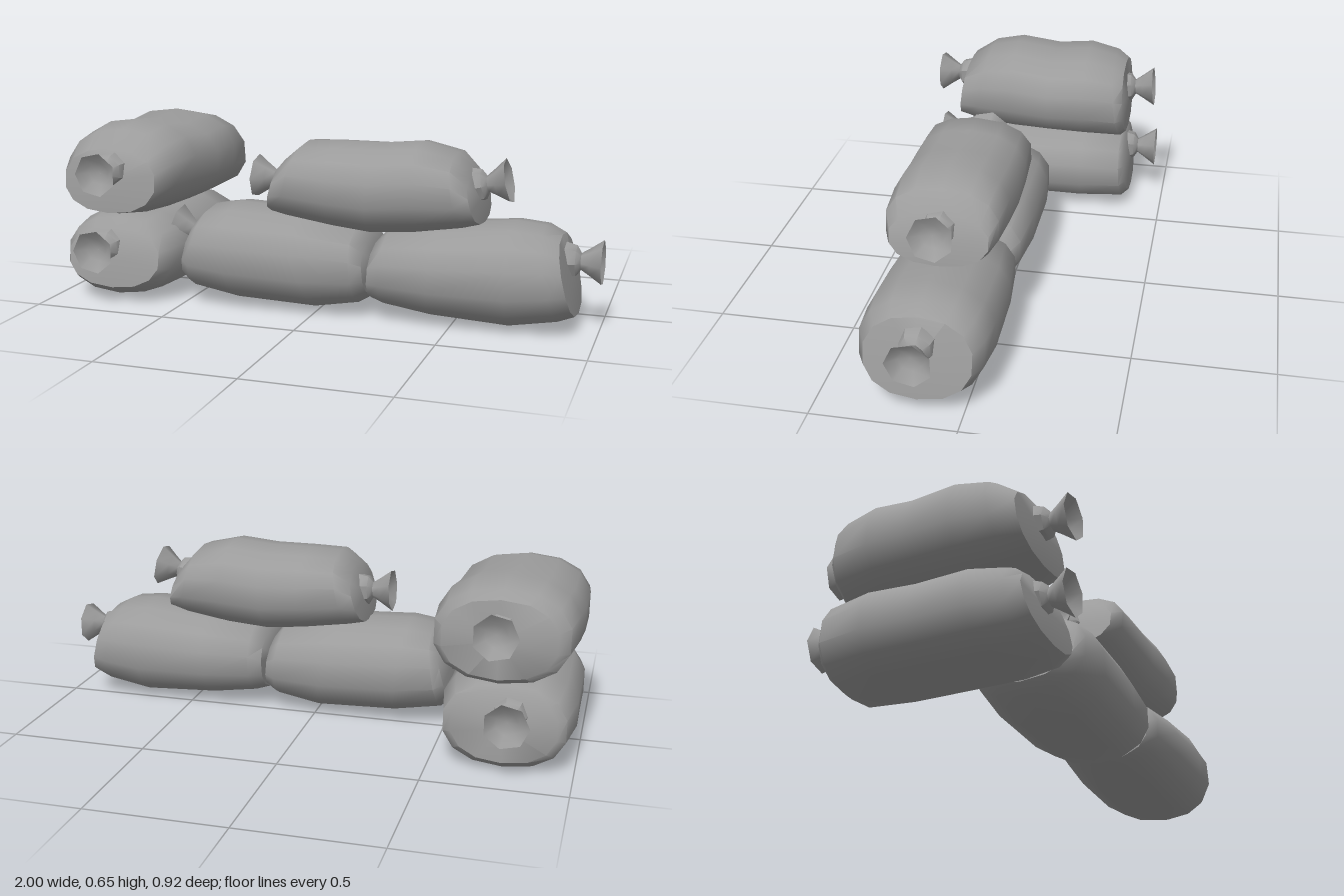
import * as THREE from 'three';
import { mergeVertices, toCreasedNormals } from 'three/addons/utils/BufferGeometryUtils.js';

const SIDES = 14;
const cloth = new THREE.MeshStandardMaterial({ color: 0x9c9c9c });
cloth.name = 'grey cloth';

// Closed loft along x. Each section: [x at top, top y, x at bottom, bottom y, half width, sideways shift]
function bagGeometry(sections) {
  const pos = [], idx = [];
  const soft = v => Math.sign(v) * Math.pow(Math.abs(v), 0.88);
  for (const [xt, yt, xb, yb, hw, shift = 0] of sections) {
    for (let i = 0; i < SIDES; i++) {
      const a = (i / SIDES) * Math.PI * 2;
      const k = (soft(Math.cos(a)) + 1) / 2;
      pos.push(xb + (xt - xb) * k, yb + (yt - yb) * k, soft(Math.sin(a)) * hw + shift);
    }
  }
  const n = sections.length;
  for (let s = 0; s < n - 1; s++) {
    for (let i = 0; i < SIDES; i++) {
      const j = (i + 1) % SIDES;
      const a = s * SIDES + i, b = s * SIDES + j, c = a + SIDES, d = b + SIDES;
      idx.push(a, b, c, b, d, c);
    }
  }
  // slightly domed end caps
  [[0, -0.012], [n - 1, 0.012]].forEach(([s, bulge]) => {
    const [xt, yt, xb, yb, , shift = 0] = sections[s];
    const centre = pos.length / 3;
    pos.push((xt + xb) / 2 + bulge, (yt + yb) / 2, shift);
    for (let i = 0; i < SIDES; i++) {
      const a = s * SIDES + i, b = s * SIDES + (i + 1) % SIDES;
      if (s === 0) idx.push(centre, b, a);
      else idx.push(centre, a, b);
    }
  });
  const g = new THREE.BufferGeometry();
  g.setAttribute('position', new THREE.Float32BufferAttribute(pos, 3));
  g.setIndex(idx);
  return toCreasedNormals(mergeVertices(g), 0.8);
}

// Gathered neck flaring into a hollow tied end, pointing up y
function tieGeometry() {
  const profile = [[0.065, -0.02], [0.055, 0.018], [0.03, 0.034], [0.05, 0.065], [0.08, 0.108], [0.04, 0.078], [0.001, 0.066]];
  return toCreasedNormals(new THREE.LatheGeometry(profile.map(p => new THREE.Vector2(...p)), 7), 0.8);
}

// ties: [x, y, sideways, direction (+1 / -1), upward tilt]
function makeBag(name, sections, ties, tieShape) {
  const bag = new THREE.Group();
  bag.name = name;
  const body = new THREE.Mesh(bagGeometry(sections), cloth);
  body.name = 'bagBody';
  bag.add(body);
  for (const [x, y, z, dir, tilt] of ties) {
    const tie = new THREE.Mesh(tieShape, cloth);
    tie.name = 'tiedEnd';
    tie.position.set(x, y, z);
    tie.rotation.z = -dir * (Math.PI / 2 - tilt);
    bag.add(tie);
  }
  return bag;
}

export function createModel() {
  const model = new THREE.Group();
  model.name = 'sandbagPile';
  const tie = tieGeometry();

  // row of two bags with a third on top
  const lowerLeft = makeBag('lowerLeftBag', [
    [0.86, 0.33, 0.925, 0.055, 0.185], [0.8, 0.36, 0.87, 0.035, 0.215], [0.7, 0.37, 0.7, 0.005, 0.226],
    [0.45, 0.345, 0.42, 0.02, 0.222], [0.26, 0.32, 0.25, 0.045, 0.205], [0.215, 0.28, 0.2, 0.06, 0.175],
  ].reverse(), [[0.893, 0.24, 0, 1, 0]], tie);
  lowerLeft.position.z = 0.155;

  const lowerRight = makeBag('lowerRightBag', [
    [-0.455, 0.33, -0.52, 0.085, 0.185], [-0.43, 0.355, -0.48, 0.05, 0.212], [-0.34, 0.37, -0.3, 0.02, 0.226],
    [-0.08, 0.36, 0, 0.01, 0.222], [0.14, 0.325, 0.16, 0.04, 0.205], [0.18, 0.28, 0.2, 0.07, 0.175],
  ], [[-0.485, 0.235, 0, -1, 0.25]], tie);
  lowerRight.position.z = 0.155;

  const upper = makeBag('upperBag', [
    [-0.12, 0.56, -0.18, 0.355, 0.18], [-0.06, 0.613, -0.12, 0.342, 0.203], [0.06, 0.617, 0.06, 0.315, 0.21],
    [0.22, 0.618, 0.2, 0.3, 0.212], [0.36, 0.632, 0.36, 0.312, 0.21], [0.49, 0.6, 0.53, 0.34, 0.2],
    [0.545, 0.535, 0.59, 0.357, 0.175],
  ], [[-0.155, 0.465, 0, -1, 0.05], [0.565, 0.485, 0, 1, 0.2]], tie);
  upper.position.z = 0.158;

  // two crosswise bags stacked at the side; local x becomes z, local z becomes -x
  const sideLower = makeBag('sideLowerBag', [
    [-0.335, 0.295, -0.365, 0.04, 0.185], [-0.32, 0.31, -0.335, 0.015, 0.215], [-0.17, 0.33, -0.17, 0.008, 0.24],
    [0, 0.32, 0, 0.01, 0.238], [0.18, 0.33, 0.2, 0.01, 0.238], [0.3, 0.31, 0.33, 0.025, 0.215], [0.34, 0.28, 0.385, 0.06, 0.185],
  ], [[-0.352, 0.21, 0.02, -1, 0], [0.355, 0.21, 0.03, 1, 0]], tie);
  const sideUpper = makeBag('sideUpperBag', [
    [-0.325, 0.605, -0.345, 0.33, 0.2, -0.03], [-0.28, 0.632, -0.325, 0.312, 0.235, -0.025], [-0.17, 0.655, -0.17, 0.31, 0.25, -0.018],
    [-0.03, 0.637, -0.03, 0.31, 0.25, -0.01], [0.13, 0.655, 0.13, 0.31, 0.242, 0], [0.24, 0.63, 0.28, 0.318, 0.222, 0.01],
    [0.33, 0.57, 0.36, 0.335, 0.185, 0.015],
  ], [[-0.335, 0.5, -0.03, -1, 0.08], [0.352, 0.495, 0.01, 1, 0]], tie);
  for (const bag of [sideLower, sideUpper]) {
    bag.rotation.y = -Math.PI / 2;
    bag.position.x = -0.758;
  }

  model.add(lowerLeft, lowerRight, upper, sideLower, sideUpper);
  return model;
}
